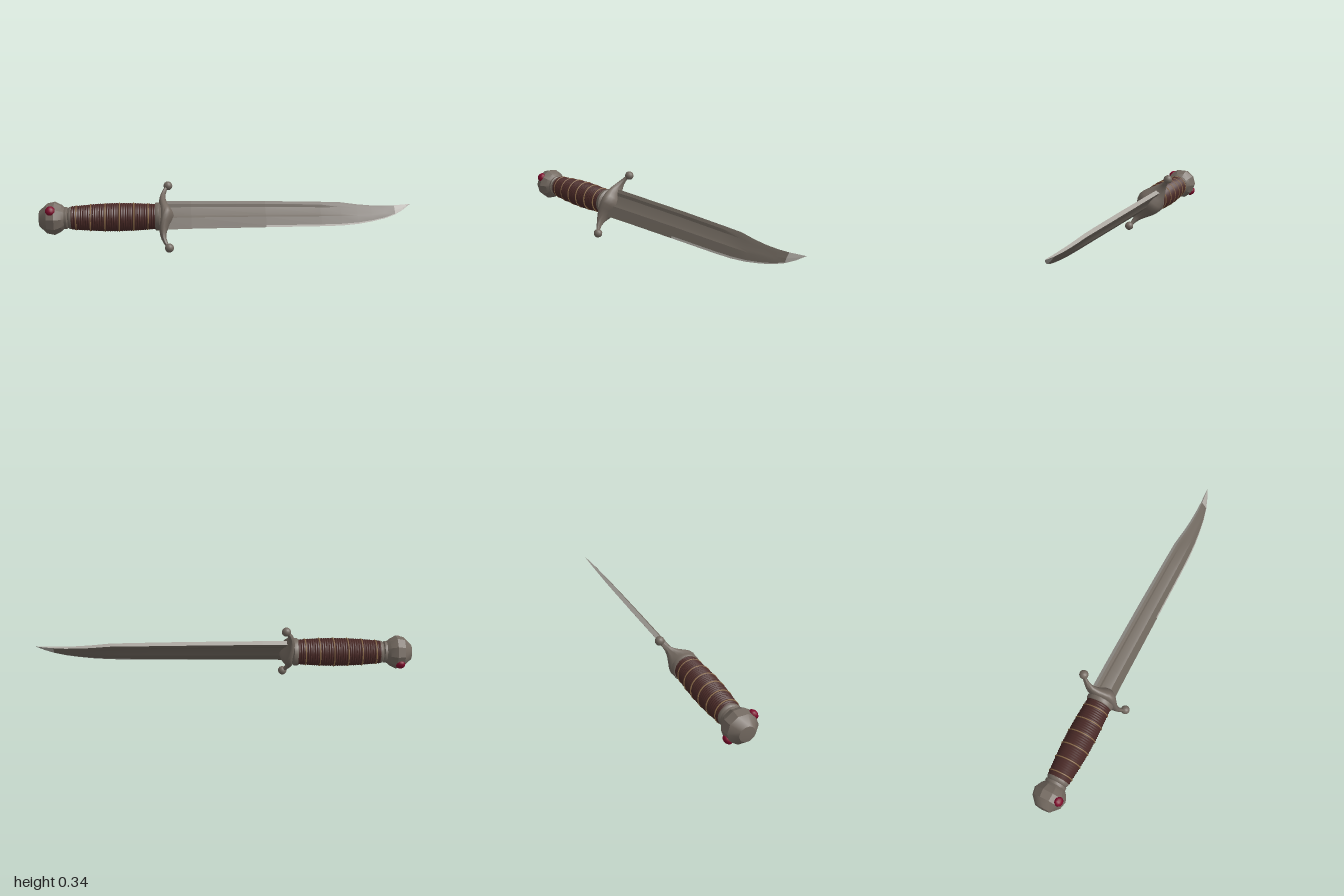
import * as THREE from 'three';
import { toCreasedNormals } from 'three/addons/utils/BufferGeometryUtils.js';

const mat = (name, color) => Object.assign(new THREE.MeshStandardMaterial({ color }), { name });

// Skin closed rings of points; pick(i, j) gives the material slot of each quad
function loft(rings, pick = () => 0, crease = 0.6) {
  const buckets = [[], []];
  for (let i = 0; i < rings.length - 1; i++) {
    const n = rings[i].length;
    for (let j = 0; j < n; j++) {
      const k = (j + 1) % n;
      const a = rings[i][j], b = rings[i][k], c = rings[i + 1][k], d = rings[i + 1][j];
      for (const p of [a, b, c, a, c, d]) buckets[pick(i, j)].push(...p);
    }
  }
  const geo = new THREE.BufferGeometry();
  geo.setAttribute('position', new THREE.Float32BufferAttribute(buckets.flat(), 3));
  geo.addGroup(0, buckets[0].length / 3, 0);
  geo.addGroup(buckets[0].length / 3, buckets[1].length / 3, 1);
  geo.computeVertexNormals();
  return toCreasedNormals(geo, crease);
}

export function createModel() {
  const steel = mat('blade steel', 0x6e665d);
  const polished = mat('polished edge', 0xaaa69f);
  const iron = mat('guard metal', 0x736960);
  const leather = mat('grip leather', 0x4a2a27);
  const wire = mat('brass wire', 0x8a6a48);
  const ruby = mat('red gem', 0x7c0a2a);

  const dagger = new THREE.Group();
  dagger.name = 'dagger';
  const add = (name, geo, material, x = 0, y = 0, z = 0) => {
    const m = new THREE.Mesh(geo, material);
    m.name = name;
    m.position.set(x, y, z);
    dagger.add(m);
    return m;
  };
  // Turned part along x from [x, radius] pairs
  const turned = (name, profile, sides, material, crease = 0.7) => {
    const geo = new THREE.LatheGeometry(profile.map(([x, r]) => new THREE.Vector2(r, x)), sides);
    geo.rotateZ(-Math.PI / 2);
    return add(name, toCreasedNormals(geo, crease), material);
  };

  // Blade: x, spine height, edge height, half thickness, fuller depth
  const stations = [
    [-0.36, 0.087, -0.08, 0.012, 0.005], [-0.2, 0.085, -0.077, 0.012, 0.005],
    [0.2, 0.077, -0.076, 0.012, 0.005], [0.5, 0.068, -0.076, 0.011, 0.005],
    [0.61, 0.064, -0.074, 0.010, 0.002], [0.7, 0.05, -0.066, 0.009, 0],
    [0.78, 0.042, -0.052, 0.008, 0], [0.85, 0.04, -0.035, 0.007, 0],
    [0.91, 0.042, -0.012, 0.005, 0], [0.96, 0.047, 0.018, 0.003, 0],
    [1.0, 0.051, 0.05, 0.0005, 0],
  ];
  const bladeRings = stations.map(([x, top, bot, t, f]) => {
    const h = top - bot;
    const side = [[top, t], [top - 0.12 * h, t * 1.1], [top - 0.22 * h, t - f],
      [top - 0.5 * h, t - f], [top - 0.62 * h, t], [bot + 0.07 * h, t * 0.2]];
    return [
      [x, top, -t], ...side.map(([y, z]) => [x, y, z]), [x, bot, 0],
      ...side.slice(1).reverse().map(([y, z]) => [x, y, -z]),
    ];
  });
  const isPolished = (i, j) => (j === 0 || i >= 8 || (i >= 2 && (j === 6 || j === 7)) ? 1 : 0);
  add('blade', loft(bladeRings, isPolished, 0.3), [steel, polished]);

  // Guard: height, back x, front x, half width; arms sweep toward the blade
  const half = [
    [0, -0.372, -0.292, 0.076], [0.025, -0.372, -0.3, 0.071], [0.05, -0.372, -0.315, 0.061],
    [0.08, -0.371, -0.328, 0.045], [0.11, -0.367, -0.335, 0.029], [0.135, -0.36, -0.333, 0.018],
    [0.16, -0.349, -0.326, 0.012], [0.187, -0.331, -0.309, 0.011],
  ];
  const guardProfile = [...half.slice(1).reverse().map(([v, ...r]) => [-v, ...r]), ...half];
  const guardRings = guardProfile.map(([v, back, front, w]) => {
    const mid = back + (front - back) * 0.4;
    return Array.from({ length: 20 }, (_, k) => {
      const a = (k / 20) * Math.PI * 2, s = Math.sin(a);
      return [mid + s * (s > 0 ? front - mid : mid - back), v, w * Math.cos(a)];
    });
  });
  add('guard', loft(guardRings, () => 0, 1.0), iron);
  for (const s of [1, -1]) add('guardBall', new THREE.SphereGeometry(0.024, 14, 10), iron, -0.32, s * 0.187, 0);
  turned('guardCollar', [[-0.392, 0.0], [-0.392, 0.07], [-0.386, 0.074], [-0.37, 0.074], [-0.355, 0.05]], 24, iron);

  // Grip: swelling profile with fine ribs of wound leather
  const gripRadius = (x) => {
    const u = (x + 0.83) / 0.44;
    return 0.06 + 0.006 * u + 0.011 * Math.sin(Math.PI * Math.min(1, u));
  };
  const ribs = Array.from({ length: 73 }, (_, i) => {
    const x = -0.83 + (0.44 * i) / 72;
    return [x, gripRadius(x) + (i % 2 ? 0.0015 : -0.0015)];
  });
  turned('grip', [[-0.83, 0], ...ribs, [-0.39, 0]], 24, leather);
  for (let i = 0; i < 6; i++) {
    const x = -0.805 + i * 0.075;
    const ring = add('gripWire', new THREE.TorusGeometry(gripRadius(x) + 0.0005, 0.0035, 6, 28), wire, x);
    ring.rotation.set(0, Math.PI / 2 + 0.04, 0);
  }

  // Neck rings between grip and pommel
  turned('neck', [[-0.875, 0.05], [-0.862, 0.058], [-0.852, 0.058], [-0.847, 0.051],
    [-0.842, 0.057], [-0.832, 0.06], [-0.824, 0.058], [-0.82, 0]], 20, iron);

  // Faceted pommel with a gem on each face
  turned('pommel', [[-1, 0], [-0.995, 0.042], [-0.955, 0.08], [-0.915, 0.089],
    [-0.88, 0.071], [-0.855, 0.048], [-0.85, 0]], 10, iron, 0.5);
  for (const s of [1, -1]) {
    const gem = add('gem', new THREE.SphereGeometry(0.026, 10, 8), ruby, -0.932, 0, s * 0.08);
    gem.scale.z = 0.75;
  }

  // The dagger lies rolled about its long axis, resting on one guard ball
  dagger.rotation.x = -0.675;
  dagger.position.y = 0.17;
  const model = new THREE.Group();
  model.add(dagger);
  return model;
}
